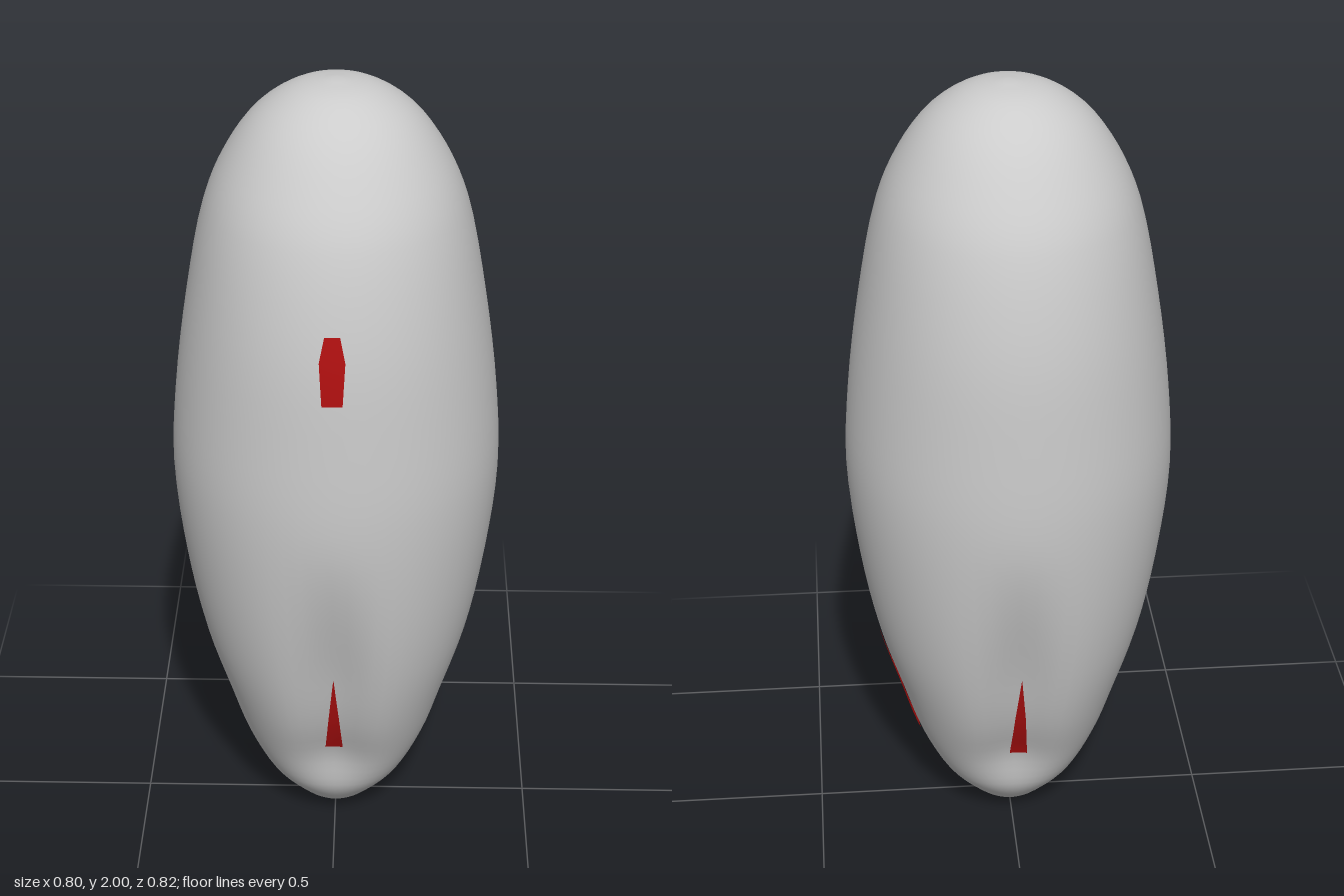
import * as THREE from 'three';

// Body cross-sections from bottom to top: half width, height, half depth
const profile = new THREE.CatmullRomCurve3([
  [0, 0, 0], [0.07, 0.02, 0.08], [0.13, 0.07, 0.14], [0.18, 0.13, 0.19], [0.235, 0.24, 0.24],
  [0.28, 0.38, 0.3], [0.335, 0.56, 0.35], [0.377, 0.78, 0.388], [0.401, 1.02, 0.408],
  [0.391, 1.22, 0.406], [0.358, 1.47, 0.39], [0.312, 1.7, 0.336], [0.262, 1.82, 0.273],
  [0.19, 1.92, 0.195], [0.1, 1.98, 0.105], [0, 2, 0],
].map(p => new THREE.Vector3(...p)));

const smooth = THREE.MathUtils.smoothstep;

// Point on the hull at angle a (0 = front, PI/2 = +x) and profile parameter t
function hullPoint(a, t) {
  const s = profile.getPoint(t);
  const x = Math.sin(a) * s.x;
  let z = Math.cos(a) * s.z;
  // Shallow flutes run down the lower front and back
  const depth = 0.055 * (1 - smooth(s.y, 0.5, 1)) * smooth(s.y, 0.03, 0.28);
  z -= Math.sign(z) * Math.min(Math.abs(z), depth * Math.exp(-((x / 0.09) ** 2)));
  return new THREE.Vector3(x, s.y, z);
}

function tAtHeight(y) {
  let lo = 0, hi = 1;
  for (let i = 0; i < 30; i++) {
    const mid = (lo + hi) / 2;
    if (profile.getPoint(mid).y < y) lo = mid; else hi = mid;
  }
  return lo;
}

function geometryFrom(points, index) {
  const g = new THREE.BufferGeometry().setFromPoints(points);
  g.setIndex(index);
  g.computeVertexNormals();
  return g;
}

// Closed hull: rings of points with a pole at each end
function hullGeometry(sides = 64, rings = 60) {
  const points = [], index = [];
  for (let j = 1; j < rings; j++) {
    for (let i = 0; i < sides; i++) points.push(hullPoint((i / sides) * Math.PI * 2, j / rings));
  }
  const bottom = points.push(new THREE.Vector3(0, 0, 0)) - 1;
  const top = points.push(new THREE.Vector3(0, 2, 0)) - 1;
  const last = (rings - 2) * sides;
  for (let i = 0; i < sides; i++) {
    const n = (i + 1) % sides;
    index.push(bottom, n, i, top, last + i, last + n);
    for (let r = 0; r < last; r += sides) {
      index.push(r + i, r + n, r + sides + i, r + n, r + sides + n, r + sides + i);
    }
  }
  return geometryFrom(points, index);
}

// Coloured patch laid on the hull; rows are [height, half width], shift moves it sideways
function patchGeometry(angle, rows, shift = 0) {
  const points = [], index = [], across = 4, steps = 8;
  for (let r = 0; r < rows.length - 1; r++) {
    for (let k = r ? 1 : 0; k <= steps; k++) {
      const y = THREE.MathUtils.lerp(rows[r][0], rows[r + 1][0], k / steps);
      const w = THREE.MathUtils.lerp(rows[r][1], rows[r + 1][1], k / steps);
      const t = tAtHeight(y), radius = profile.getPoint(t).x;
      for (let i = 0; i <= across; i++) {
        const u = shift + w * (2 * i / across - 1);
        const p = hullPoint(angle + Math.asin(u / radius), t);
        p.x += Math.sin(angle) * 0.005;
        p.z += Math.cos(angle) * 0.005;
        points.push(p);
      }
    }
  }
  const n = across + 1;
  for (let j = 0; j < points.length / n - 1; j++) {
    for (let i = 0; i < across; i++) {
      const a = j * n + i;
      index.push(a, a + 1, a + n, a + 1, a + n + 1, a + n);
    }
  }
  return geometryFrom(points, index);
}

export function createModel() {
  const group = new THREE.Group();
  const grey = new THREE.MeshStandardMaterial({ color: 0xcccccc });
  const red = new THREE.MeshStandardMaterial({ color: 0xb01010, side: THREE.DoubleSide });
  const add = (name, geometry, material) => {
    const mesh = new THREE.Mesh(geometry, material);
    mesh.name = name;
    group.add(mesh);
  };

  add('hull', hullGeometry(), grey);

  // Small window high on the front
  add('frontWindow', patchGeometry(0, [[1.36, 0.024], [1.465, 0.03], [1.525, 0.018]]), red);

  // Four tapering slits around the lower hull: name, angle, base height, sideways shift
  const slits = [
    ['frontSlit', 0, 0.28, 0], ['leftSlit', Math.PI / 2, 0.23, 0.02],
    ['backSlit', Math.PI, 0.25, 0.01], ['rightSlit', -Math.PI / 2, 0.23, -0.02],
  ];
  for (const [name, angle, base, shift] of slits) {
    add(name, patchGeometry(angle, [[base, 0.022], [0.4, 0.013], [0.54, 0.0005]], shift), red);
  }
  return group;
}
